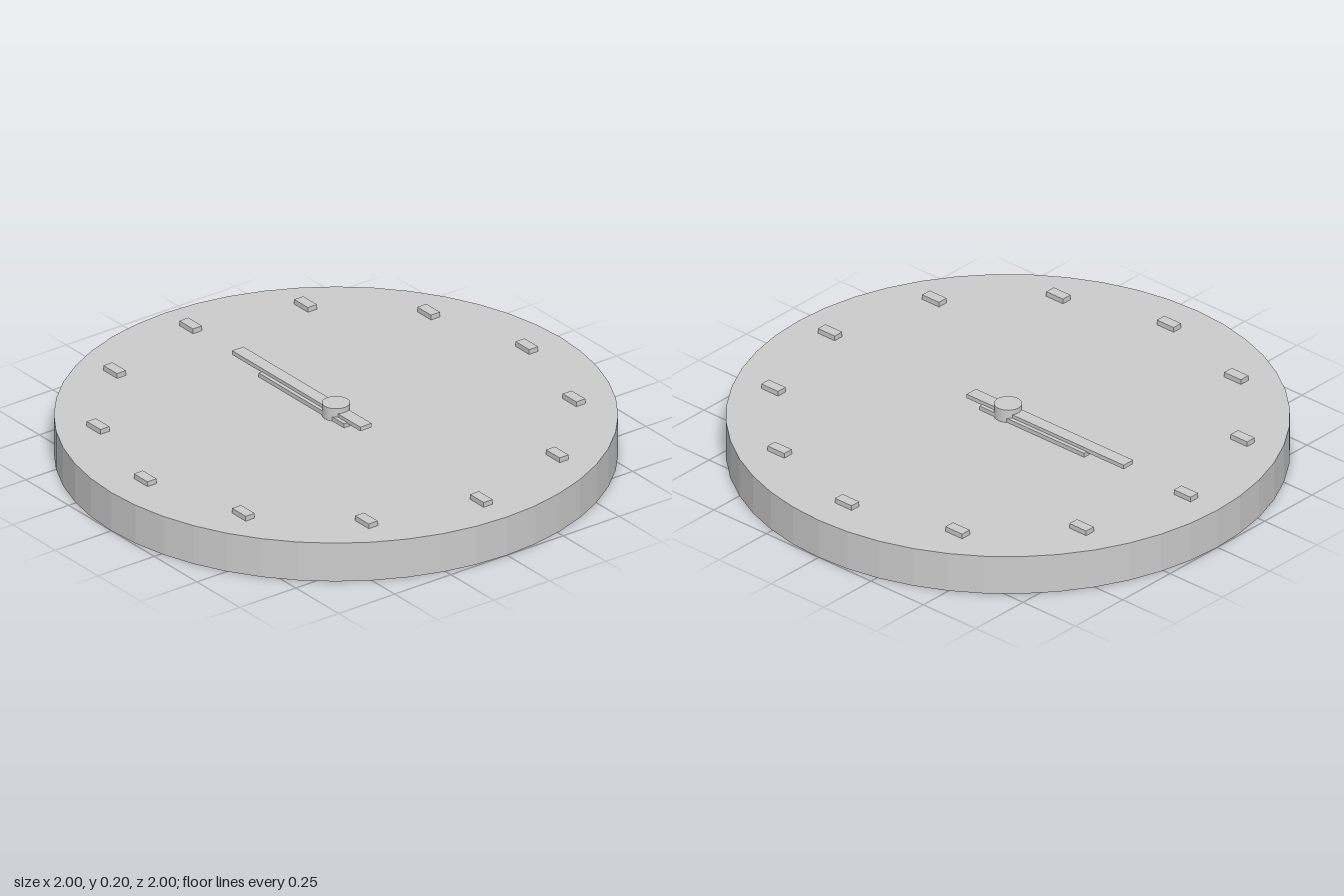
import * as THREE from 'three';

export function createModel() {
  const group = new THREE.Group();
  const material = new THREE.MeshStandardMaterial({ color: 0xcccccc, flatShading: true });
  const add = (name, geometry, x, y, z) => {
    const mesh = new THREE.Mesh(geometry, material);
    mesh.name = name;
    mesh.position.set(x, y, z);
    group.add(mesh);
  };

  const top = 0.152; // height of the dial face

  // Dial lying flat
  add('dial', new THREE.CylinderGeometry(1, 1, top, 48), 0, top / 2, 0);

  // Twelve hour markers, all aligned with the z axis
  const markerGeometry = new THREE.BoxGeometry(0.04, 0.02, 0.08);
  for (let i = 0; i < 12; i++) {
    const a = (i * Math.PI) / 6;
    add(`hourMarker${i + 1}`, markerGeometry, 0.85 * Math.sin(a), top + 0.009, -0.85 * Math.cos(a));
  }

  // Hands, both pointing to the back, each with a short tail
  add('hourHand', new THREE.BoxGeometry(0.08, 0.016, 0.5), 0, top + 0.009, -0.15);
  add('minuteHand', new THREE.BoxGeometry(0.05, 0.016, 0.75), 0, top + 0.022, -0.2);

  // Centre hub
  add('hub', new THREE.CylinderGeometry(0.05, 0.05, 0.05, 24), 0, top + 0.025, 0);

  return group;
}
